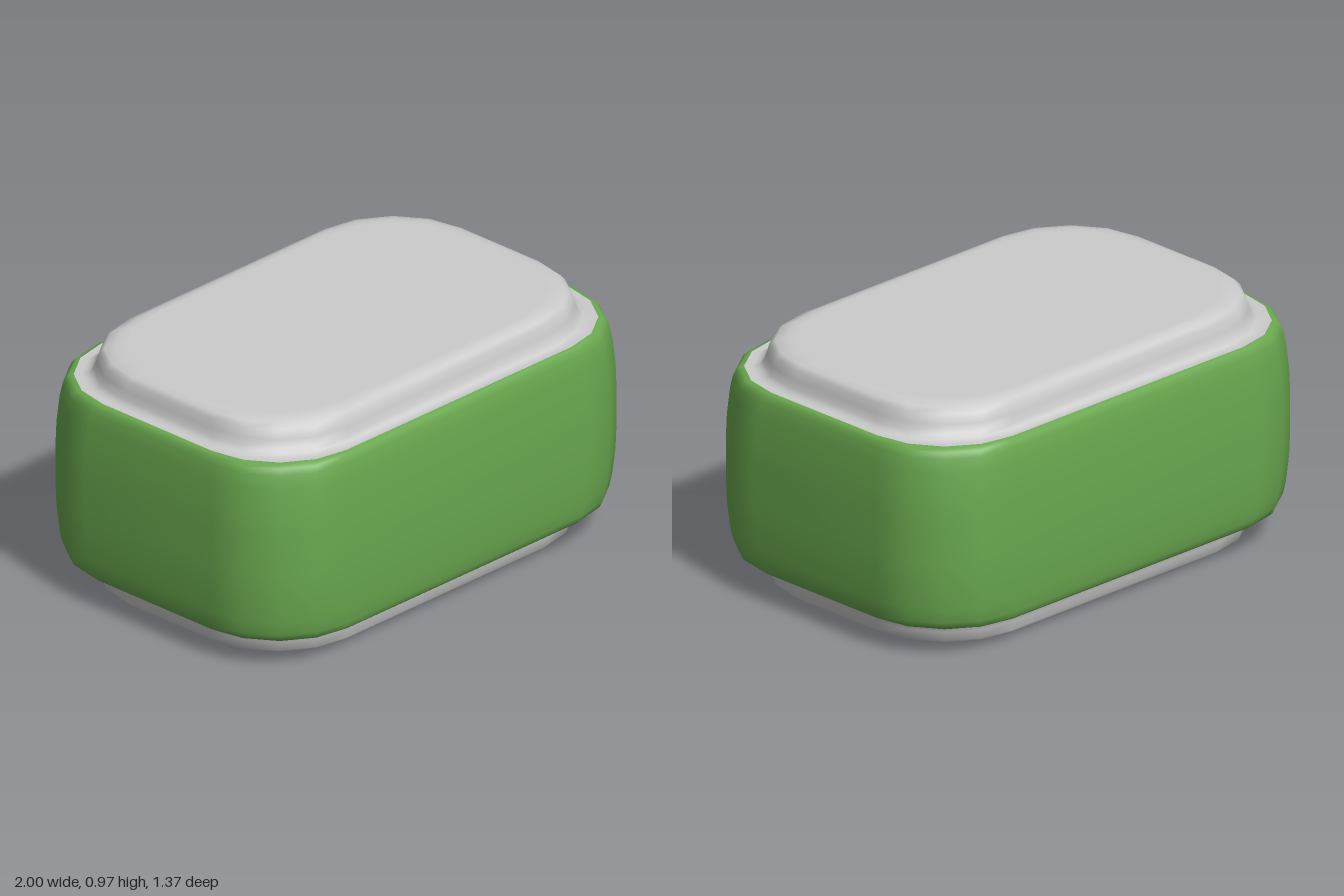
import * as THREE from 'three';

const HEIGHT = 0.97;
const RADIUS = 0.355; // corner radius shared by every ring
const STEPS = 4; // facets per corner

// Rounded-rectangle ring, given its half depth; it is 0.317 longer in x
function ring(halfZ, y) {
  const points = [];
  const cx = halfZ + 0.317 - RADIUS, cz = halfZ - RADIUS;
  for (let corner = 0; corner < 4; corner++) {
    const sx = corner === 0 || corner === 3 ? 1 : -1;
    const sz = corner < 2 ? 1 : -1;
    for (let k = 0; k <= STEPS; k++) {
      const a = (corner + k / STEPS) * Math.PI / 2;
      points.push(sx * cx + RADIUS * Math.cos(a), y, sz * cz + RADIUS * Math.sin(a));
    }
  }
  return points;
}

// Smooth skin through rings listed from bottom to top as [halfZ, y]
function loft(profile, capBottom = false, capTop = false) {
  const positions = profile.flatMap(([z, y]) => ring(z, y));
  const n = 4 * (STEPS + 1);
  const index = [];
  for (let i = 0; i < profile.length - 1; i++) {
    for (let j = 0; j < n; j++) {
      const a = i * n + j, b = i * n + (j + 1) % n;
      index.push(a, a + n, b, b, a + n, b + n);
    }
  }
  const cap = (row, up) => {
    const centre = positions.length / 3;
    positions.push(0, profile[row][1], 0);
    for (let j = 0; j < n; j++) {
      const a = row * n + j, b = row * n + (j + 1) % n;
      if (up) index.push(centre, b, a);
      else index.push(centre, a, b);
    }
  };
  if (capBottom) cap(0, false);
  if (capTop) cap(profile.length - 1, true);
  const geometry = new THREE.BufferGeometry();
  geometry.setAttribute('position', new THREE.Float32BufferAttribute(positions, 3));
  geometry.setIndex(index);
  geometry.computeVertexNormals();
  return geometry;
}

export function createModel() {
  const group = new THREE.Group();
  const grey = new THREE.MeshStandardMaterial({ color: 0xcccccc });
  const green = new THREE.MeshStandardMaterial({ color: 0x6aa84f });
  const add = (name, geometry, material) => {
    const mesh = new THREE.Mesh(geometry, material);
    mesh.name = name;
    group.add(mesh);
  };

  // Stepped end plate, from the rim of the body out to the flat face
  const plate = [
    [0.635, 0.851], [0.612, 0.849], [0.596, 0.856], [0.584, 0.873],
    [0.577, 0.903], [0.569, 0.94], [0.555, 0.958], [0.527, 0.968], [0.5, HEIGHT],
  ];
  const mirrored = (profile) => profile.map(([z, y]) => [z, HEIGHT - y]).reverse();
  add('topPlate', loft(plate, false, true), grey);
  add('bottomPlate', loft(mirrored(plate), true, false), grey);

  // Gently bulging body with softened rims
  const upper = [
    [0.683, 0.56], [0.68, 0.66], [0.672, 0.763], [0.664, 0.815],
    [0.656, 0.838], [0.647, 0.848], [0.635, 0.851],
  ];
  add('body', loft([...mirrored(upper), ...upper]), green);
  return group;
}
